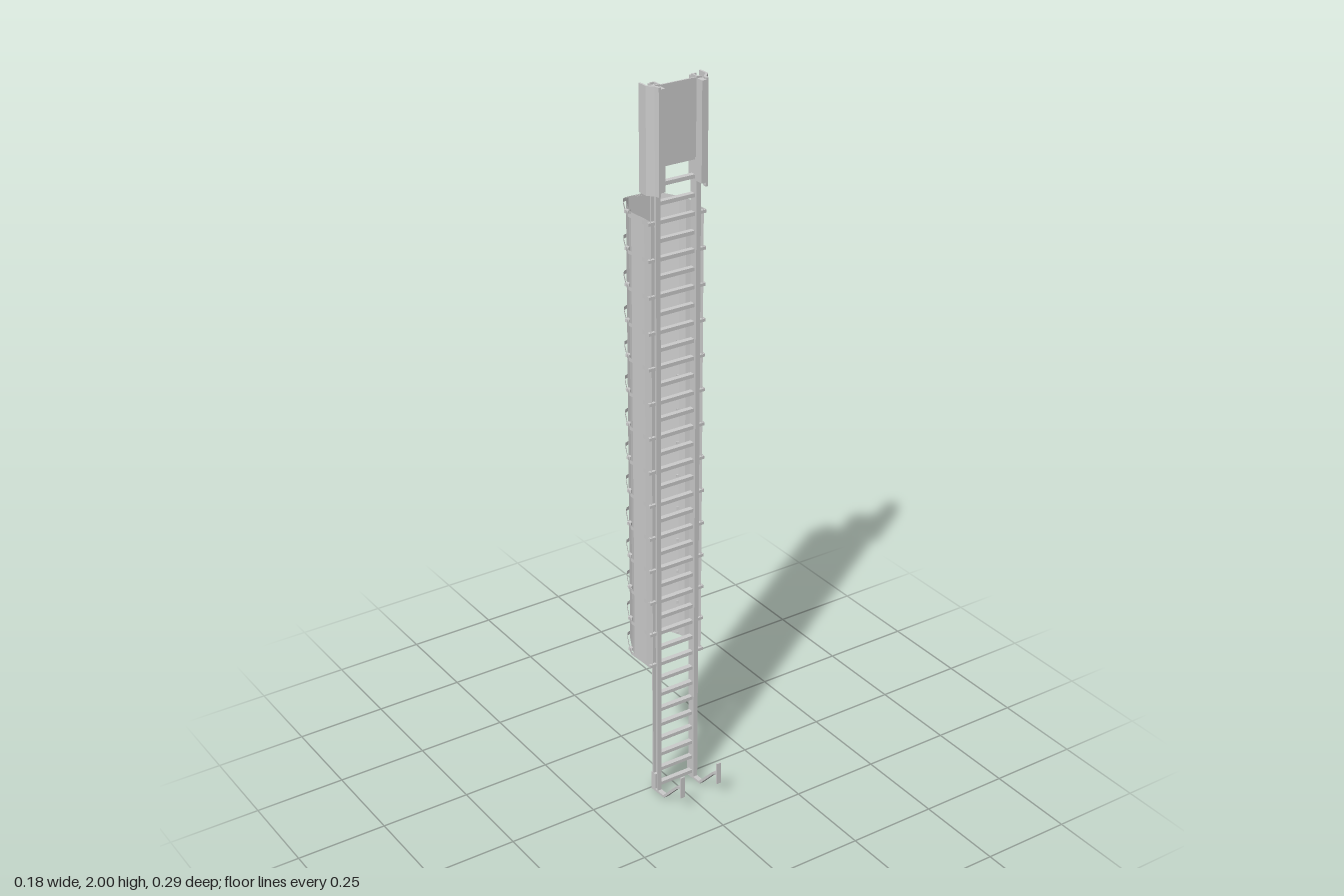
import * as THREE from 'three';

const metal = new THREE.MeshStandardMaterial({ color: 0xcccccc, flatShading: true, side: THREE.DoubleSide });

export function createModel() {
  const root = new THREE.Group();

  const add = (name, geometry, x = 0, y = 0, z = 0, parent = root) => {
    const mesh = new THREE.Mesh(geometry, metal);
    mesh.name = name;
    mesh.position.set(x, y, z);
    parent.add(mesh);
    return mesh;
  };
  const box = (name, x0, x1, y0, y1, z0, z1, parent) =>
    add(name, new THREE.BoxGeometry(x1 - x0, y1 - y0, z1 - z0),
      (x0 + x1) / 2, (y0 + y1) / 2, (z0 + z1) / 2, parent);

  // Plan outline [x, z] extruded upwards from y0 to y1
  const upright = (name, plan, y0, y1, parent) => {
    const shape = new THREE.Shape(plan.map(([x, z]) => new THREE.Vector2(x, -z)));
    const g = new THREE.ExtrudeGeometry(shape, { depth: y1 - y0, bevelEnabled: false });
    g.rotateX(-Math.PI / 2);
    return add(name, g, 0, y0, 0, parent);
  };

  // Thin vertical wall following a plan path
  const band = (path, y0, y1) => {
    const pos = [], index = [];
    path.forEach(([x, z], i) => {
      pos.push(x, y0, z, x, y1, z);
      const a = i * 2;
      if (i) index.push(a - 2, a, a - 1, a, a + 1, a - 1);
    });
    const g = new THREE.BufferGeometry();
    g.setAttribute('position', new THREE.Float32BufferAttribute(pos, 3));
    g.setIndex(index);
    g.computeVertexNormals();
    return g;
  };

  // Ladder rungs
  const rungs = new THREE.Group();
  rungs.name = 'rungs';
  root.add(rungs);
  for (let i = 0; i < 41; i++) {
    const y = 0.022 + i * 0.048;
    box('rung', -0.054, 0.054, y - 0.005, y + 0.005, 0.013, 0.027, rungs);
  }

  for (const s of [-1, 1]) {
    const side = new THREE.Group();
    side.name = s > 0 ? 'leftSide' : 'rightSide';
    root.add(side);
    const x0 = s * 0.0585 - 0.0065, x1 = s * 0.0585 + 0.0065;

    // Rail as a channel open to the outside
    const channel = [[0.052, 0.009], [0.065, 0.009], [0.065, 0.013], [0.056, 0.013],
      [0.056, 0.03], [0.065, 0.03], [0.065, 0.034], [0.052, 0.034]];
    upright('rail', channel.map(([x, z]) => [s * x, z]), 0.005, 2, side);
    box('railFoot', x0, x1, 0, 0.055, 0.004, 0.022, side);

    // Exit section: deeper rail and angled wing
    box('upperRail', x0, x1, 1.74, 1.995, 0, 0.055, side);
    const wing = [[0.083, -0.003], [0.088, -0.003], [0.088, 0.027], [0.073, 0.042],
      [0.07, 0.055], [0.064, 0.055], [0.064, 0.046], [0.068, 0.038], [0.083, 0.024]];
    upright('exitWing', wing.map(([x, z]) => [s * x, z]), 1.73, 2, side);

    // Wall bracket: bent strip with an end plate
    const strip = new THREE.Shape([[0.004, 0], [0.064, 0.003], [0.128, 0.071], [0.145, 0.079],
      [0.145, 0.086], [0.124, 0.077], [0.06, 0.009], [0.004, 0.007]]
      .map(([z, y]) => new THREE.Vector2(-z, y)));
    const g = new THREE.ExtrudeGeometry(strip, { depth: 0.013, bevelEnabled: false });
    g.rotateY(Math.PI / 2);
    add('wallBracketArm', g, x0, 0, 0, side);
    box('wallBracketPlate', x0, x1, 0.05, 0.115, 0.142, 0.146, side);
  }

  // Panel closing the front of the exit section
  box('exitPanel', -0.054, 0.054, 1.8, 1.997, 0.027, 0.031);

  // Safety cage: wall sheet inside evenly spaced hoops
  const half = [[0.083, 0.03], [0.083, 0], [0.087, -0.055], [0.08, -0.076],
    [0.05, -0.134], [0.044, -0.142], [0.034, -0.146]];
  const outer = [...half, ...half.map(([x, z]) => [-x, z]).reverse()];
  const inner = outer.map(([x, z]) => [x * 0.92, z < 0 ? z * 0.945 : z]);
  add('cageSheet', band(inner, 0.405, 1.662));

  const cage = new THREE.Group();
  cage.name = 'cageHoops';
  root.add(cage);
  const hoop = band(outer, -0.005, 0.005);
  for (let i = 0; i < 14; i++) {
    const y = 0.41 + i * 0.0958;
    add('hoop', hoop, 0, y, 0, cage);
    box('hoopBolt', -0.007, 0.007, y - 0.004, y + 0.004, -0.146, -0.137, cage);
    for (const s of [-1, 1]) {
      const bolt = box('hoopBolt', -0.006, 0.006, y - 0.004, y + 0.004, -0.005, 0.005, cage);
      bolt.position.set(s * 0.0755, y, -0.076);
      bolt.rotation.y = s * 1.08;
      const xa = s * 0.074;
      box('hoopLug', xa - 0.0095, xa + 0.0095, y - 0.004, y + 0.004, 0.022, 0.03, cage);
    }
  }
  return root;
}
